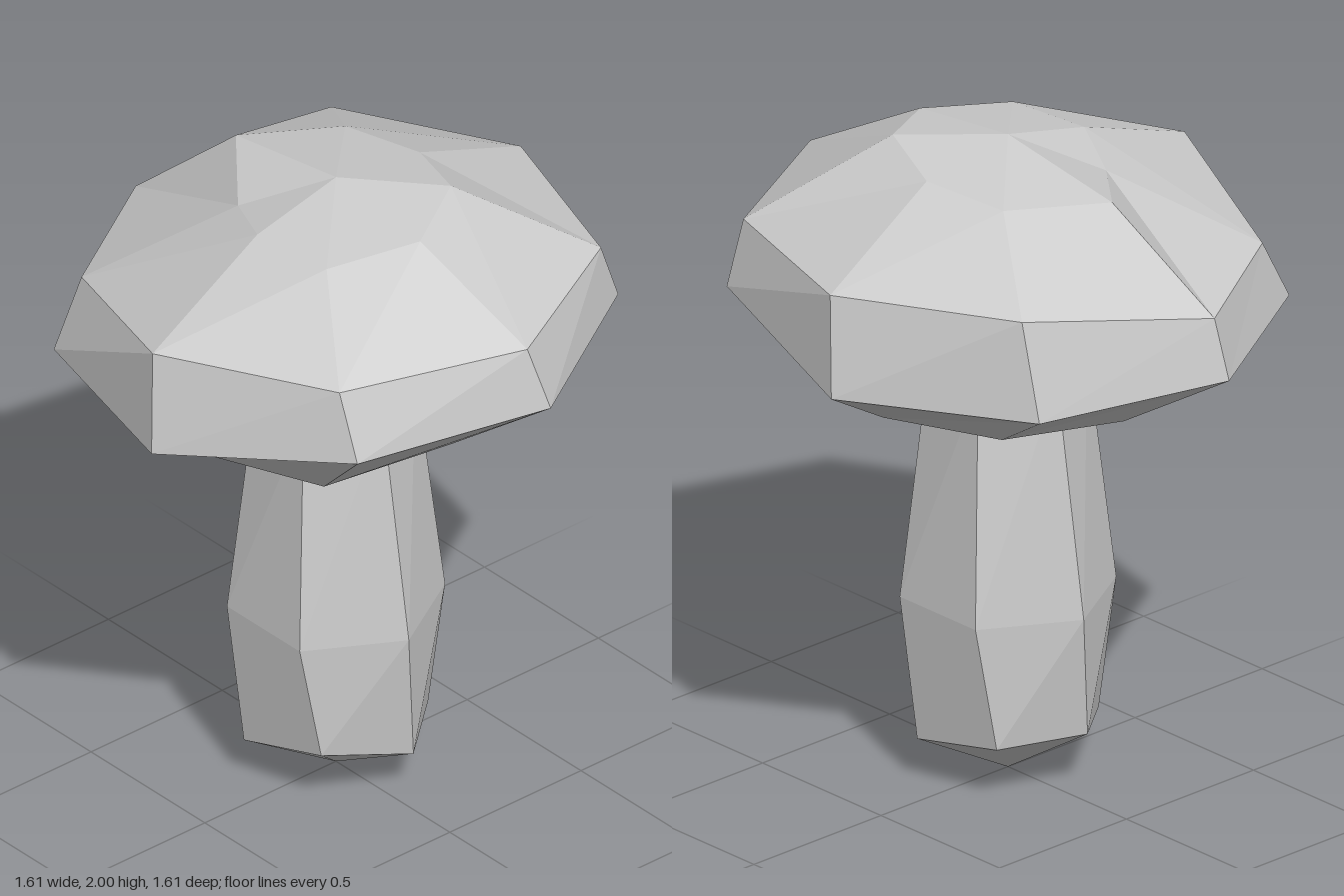
import * as THREE from 'three';

const material = new THREE.MeshStandardMaterial({ color: 0xcccccc, flatShading: true });

// Regular ring of points, turned by some degrees, with its own height per corner
function ring(radius, turn, heights) {
  return heights.map((y, i) => {
    const a = THREE.MathUtils.degToRad(turn) + (i / heights.length) * Math.PI * 2;
    return new THREE.Vector3(Math.cos(a) * radius, y, Math.sin(a) * radius);
  });
}

const points = (list) => list.map((p) => new THREE.Vector3(...p));

// Skin a stack of rings, listed from top to bottom, with flat triangles
function loft(name, rings) {
  const verts = [];
  const tri = (a, b, c) => {
    if (a.equals(b) || b.equals(c) || c.equals(a)) return; // collapsed at a tip
    for (const p of [a, b, c]) verts.push(p.x, p.y, p.z);
  };
  for (let r = 0; r < rings.length - 1; r++) {
    const up = rings[r], low = rings[r + 1], n = up.length;
    for (let i = 0; i < n; i++) {
      const prev = (i + n - 1) % n;
      tri(up[prev], up[i], low[i]);
      tri(up[prev], low[i], low[prev]);
    }
  }
  const geometry = new THREE.BufferGeometry();
  geometry.setAttribute('position', new THREE.Float32BufferAttribute(verts, 3));
  geometry.computeVertexNormals();
  const mesh = new THREE.Mesh(geometry, material);
  mesh.name = name;
  return mesh;
}

export function createModel() {
  const group = new THREE.Group();
  group.name = 'mushroom';

  // Cap: eight-sided dome with an uneven crown, a slanted rim and a shallow underside
  group.add(loft('cap', [
    ring(0, 0, Array(8).fill(2)),
    points([
      [0.37, 1.96, 0], [0.27, 1.93, 0.27], [0, 1.93, 0.3], [-0.2, 1.89, 0.2],
      [-0.44, 1.93, 0], [-0.27, 1.93, -0.27], [0, 1.95, -0.32], [0.24, 1.99, -0.23],
    ]),
    points([
      [0.76, 1.75, -0.07], [0.58, 1.75, 0.49], [0.07, 1.75, 0.76], [-0.49, 1.65, 0.545],
      [-0.765, 1.64, 0.1], [-0.585, 1.75, -0.49], [-0.07, 1.75, -0.765], [0.49, 1.75, -0.585],
    ]),
    ring(0.815, -8.4, [1.55, 1.54, 1.45, 1.45, 1.45, 1.45, 1.45, 1.56]),
    ring(0.49, 0, [1.32, 1.255, 1.255, 1.255, 1.255, 1.255, 1.255, 1.32]),
    ring(0, 0, Array(8).fill(1.255)),
  ]));

  // Stem: six-sided, slightly twisted, bulging low down and ending in a point
  group.add(loft('stem', [
    ring(0, 0, Array(6).fill(1.3)),
    ring(0.23, 5, Array(6).fill(1.3)),
    ring(0.32, 0, Array(6).fill(0.57)),
    ring(0.285, -10.5, [0.14, 0.2, 0.14, 0.18, 0.18, 0.14]),
    ring(0, 0, Array(6).fill(0)),
  ]));

  return group;
}
